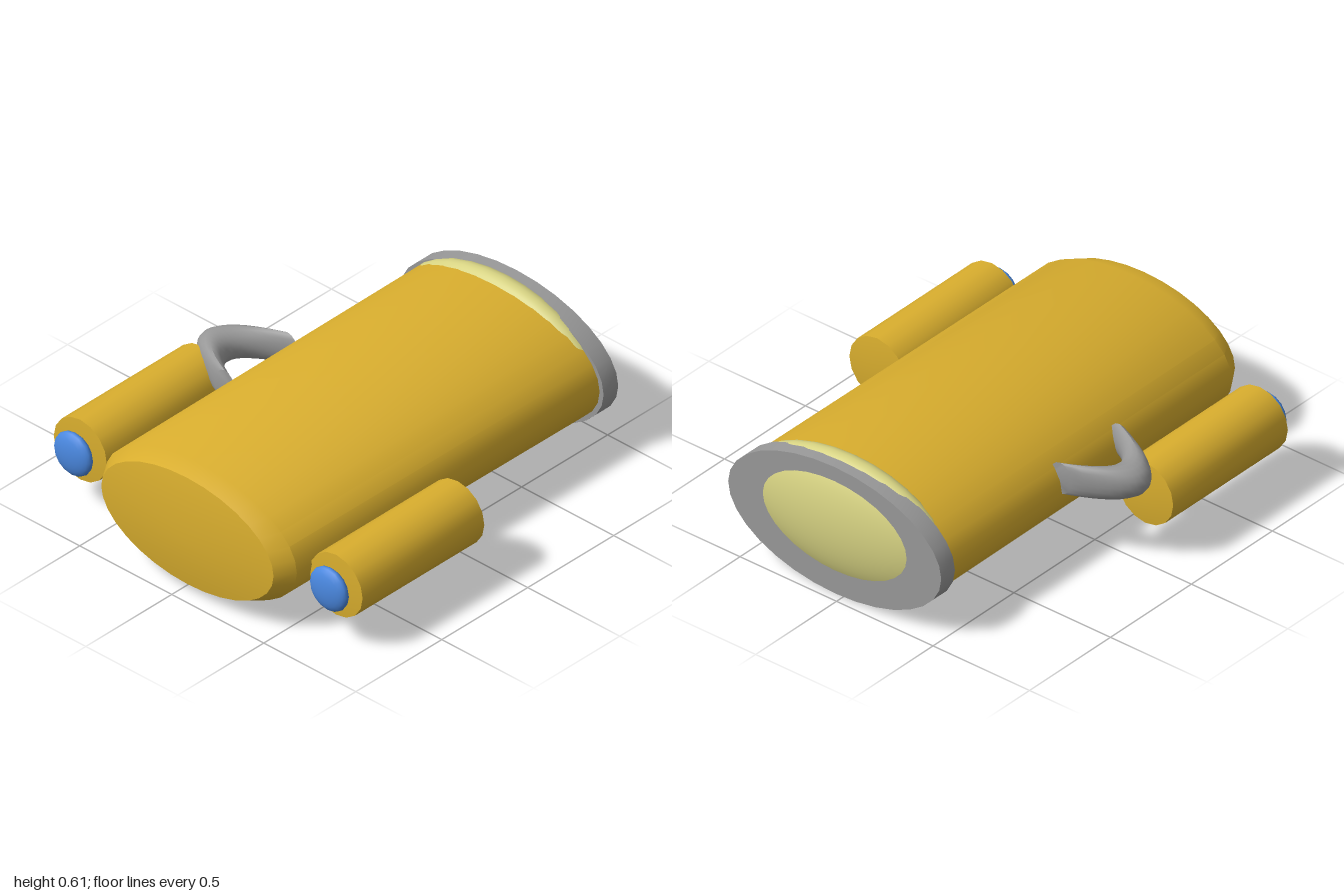
import * as THREE from 'three';
import { toCreasedNormals } from 'three/addons/utils/BufferGeometryUtils.js';

const material = (name, color) => {
  const m = new THREE.MeshStandardMaterial({ color });
  m.name = name;
  return m;
};

// Solid of revolution along z from [radius, z] pairs (back to front), squashed to an ellipse
function turned(profile, segments, sx = 1, sy = 1) {
  const g = new THREE.LatheGeometry(profile.map(([r, z]) => new THREE.Vector2(r, z)), segments);
  g.rotateX(Math.PI / 2).scale(sx, sy, 1);
  return toCreasedNormals(g, 0.5);
}

// Curved handle: upright elliptical sections that bow outward between two ends
function handleGeometry() {
  const rings = 16, sides = 16, pos = [], idx = [];
  for (let i = 0; i <= rings; i++) {
    const t = (i / rings) * 2 - 1;
    const cx = -0.69 + 0.215 * t * t;
    const rx = 0.08 - 0.025 * t * t;
    for (let j = 0; j < sides; j++) {
      const a = (j / sides) * Math.PI * 2;
      pos.push(cx + rx * Math.cos(a), 0.378 + 0.073 * Math.sin(a), 0.183 * t);
    }
  }
  for (let i = 0; i < rings; i++) {
    for (let j = 0; j < sides; j++) {
      const a = i * sides + j, b = i * sides + (j + 1) % sides;
      idx.push(a, b, b + sides, a, b + sides, a + sides);
    }
  }
  // end caps
  const last = rings * sides;
  for (let j = 1; j < sides - 1; j++) {
    idx.push(0, j + 1, j, last, last + j, last + j + 1);
  }
  const g = new THREE.BufferGeometry();
  g.setAttribute('position', new THREE.Float32BufferAttribute(pos, 3));
  g.setIndex(idx);
  return toCreasedNormals(g, 0.7);
}

export function createModel() {
  const yellow = material('yellow paint', 0xd9ae2e);
  const grey = material('grey metal', 0x999999);
  const pale = material('pale yellow glass', 0xd6d282);
  const blue = material('blue lens', 0x4a88e0);

  const model = new THREE.Group();
  const add = (name, geometry, mat, x, y, z, parent = model) => {
    const mesh = new THREE.Mesh(geometry, mat);
    mesh.name = name;
    mesh.position.set(x, y, z);
    parent.add(mesh);
    return mesh;
  };

  // Main hull with chamfered, slightly pointed front
  add('hull', turned(
    [[0, -0.9], [1.02, -0.9], [1, 0.875], [0.9, 0.955], [0, 0.998]], 32, 0.52, 0.284),
  yellow, 0.043, 0.307, 0);

  // Rear rim and the domed window bulging through it
  add('rearRim', turned(
    [[0, -0.96], [1, -0.96], [1, -0.875], [0, -0.875]], 32, 0.552, 0.3),
  grey, 0.043, 0.304, 0);
  const dome = new THREE.SphereGeometry(1, 32, 24);
  dome.rotateX(Math.PI / 2).scale(0.51, 0.29, 0.125);
  add('rearDome', dome, pale, 0.043, 0.325, -0.875);

  // Side pods with lamps
  for (const [side, s] of [['left', 1], ['right', -1]]) {
    const pod = new THREE.Group();
    pod.name = side + 'Pod';
    pod.position.set(0.695 * s, 0.27, 0);
    model.add(pod);
    add('podBody', turned(
      [[0, 0.06], [0.144, 0.08], [0.144, 0.788], [0, 0.8]], 16), yellow, 0, 0, 0, pod);
    const lens = new THREE.SphereGeometry(0.1, 16, 12);
    lens.rotateX(Math.PI / 2).scale(1, 1, 0.38);
    add('podLens', lens, blue, 0, 0, 0.827, pod);
  }

  // Handle on the right side
  add('sideHandle', handleGeometry(), grey, 0, 0, 0);

  return model;
}
